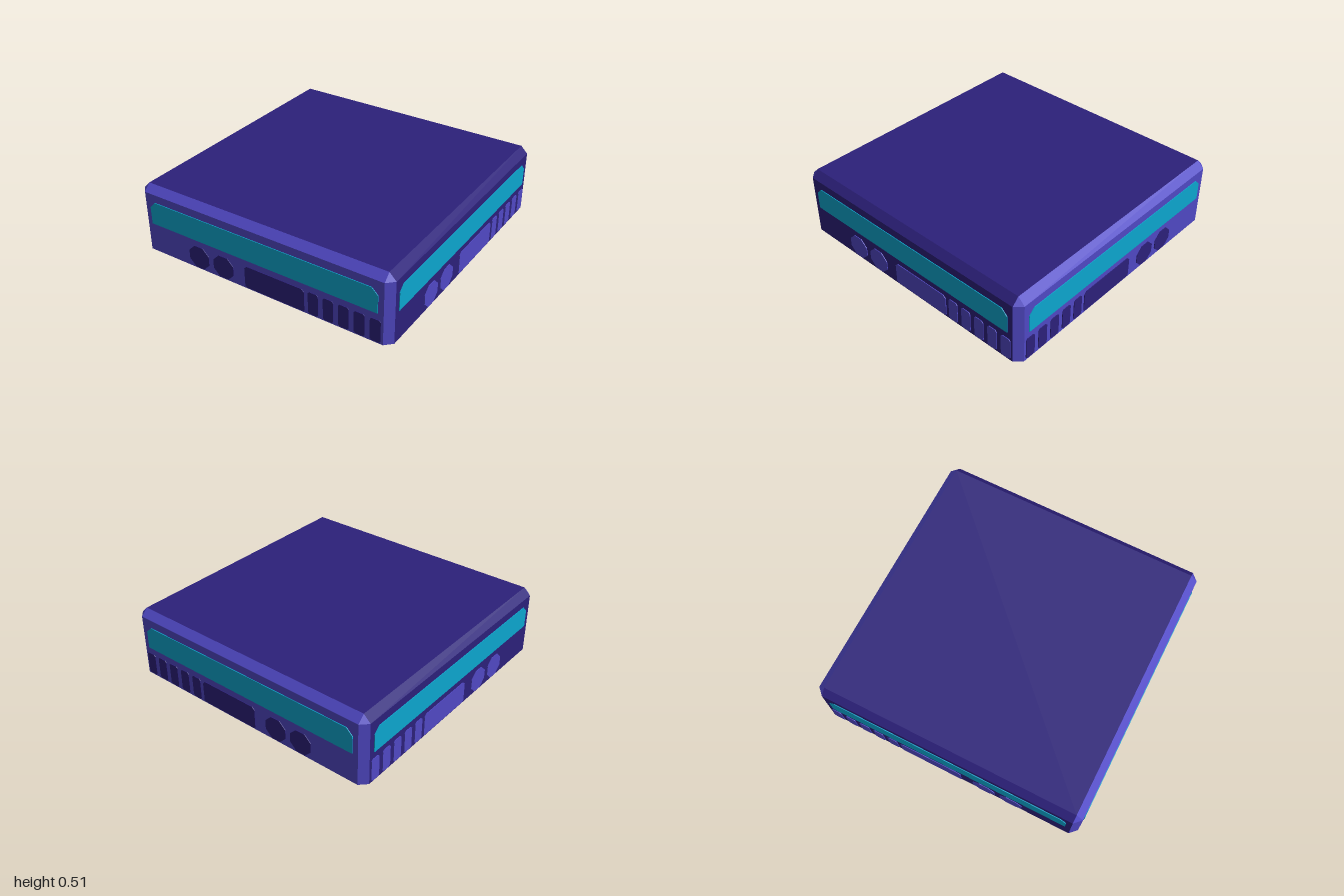
import * as THREE from 'three';

const W = 0.995, H = 0.945;      // half width, half width inside the bevel
const TOP = 0.51, EAVE = 0.46;   // roof height, height where the bevel starts
const PLATE = 0.005;             // thickness of the flush details

const paint = (name, color) => {
  const m = new THREE.MeshStandardMaterial({ color });
  m.name = name;
  return m;
};

// Flat convex polygon, corners counter-clockwise from outside
function facet(name, corners, material) {
  const pos = [];
  for (let i = 1; i < corners.length - 1; i++) pos.push(...corners[0], ...corners[i], ...corners[i + 1]);
  const g = new THREE.BufferGeometry();
  g.setAttribute('position', new THREE.Float32BufferAttribute(pos, 3));
  g.computeVertexNormals();
  const mesh = new THREE.Mesh(g, material);
  mesh.name = name;
  return mesh;
}

// Thin plate with cut corners: t at the top, b at the bottom
function plate(name, x0, x1, y0, y1, t, b, material) {
  const pts = [[x0 + b, y0], [x1 - b, y0], [x1, y0 + b], [x1, y1 - t],
    [x1 - t, y1], [x0 + t, y1], [x0, y1 - t]];
  if (b > 0) pts.push([x0, y0 + b]);
  else pts.splice(1, 1), pts.splice(0, 1, [x0, y0]);
  const shape = new THREE.Shape(pts.map(p => new THREE.Vector2(...p)));
  const mesh = new THREE.Mesh(new THREE.ExtrudeGeometry(shape, { depth: PLATE, bevelEnabled: false }), material);
  mesh.position.z = W;
  mesh.name = name;
  return mesh;
}

export function createModel() {
  const light = paint('light indigo', 0x5048c4);
  const dark = paint('dark indigo', 0x2c207a);
  const cyan = paint('cyan glass', 0x0ca6ce);
  const model = new THREE.Group();
  model.name = 'building';

  // Roof and underside
  model.add(facet('roof', [[-H, TOP, H], [H, TOP, H], [H, TOP, -H], [-H, TOP, -H]], dark));
  model.add(facet('underside', [[-H, 0, -W], [H, 0, -W], [W, 0, -H], [W, 0, H],
    [H, 0, W], [-H, 0, W], [-W, 0, H], [-W, 0, -H]], dark));

  ['front', 'right', 'back', 'left'].forEach((label, k) => {
    const side = new THREE.Group();
    side.name = label + 'Side';
    side.rotation.y = k * Math.PI / 2;
    const wall = k % 2 ? dark : light, trim = k % 2 ? light : dark;

    // Wall, roof bevel and corner post
    side.add(facet('wall', [[-H, 0, W], [H, 0, W], [H, EAVE, W], [-H, EAVE, W]], wall));
    side.add(facet('roofBevel', [[-H, EAVE, W], [H, EAVE, W], [H, TOP, H], [-H, TOP, H]], wall));
    side.add(facet('cornerPost', [[H, 0, W], [W, 0, H], [W, EAVE, H], [H, EAVE, W]], light));
    side.add(facet('cornerCap', [[H, EAVE, W], [W, EAVE, H], [H, TOP, H]], light));

    // Details, mirrored between opposite sides
    const m = k < 2 ? 1 : -1;
    const add = (name, c, w, y0, y1, t, b, mat) =>
      side.add(plate(name, m * c - w / 2, m * c + w / 2, y0, y1, t, b, mat));
    add('windowBand', 0, 1.81, 0.225, 0.4, 0.045, 0, cyan);
    for (const c of [-0.495, -0.285]) add('octagonPanel', c, 0.17, 0.01, 0.177, 0.05, 0.05, trim);
    add('widePanel', 0.133, 0.475, 0.01, 0.177, 0.02, 0.01, trim);
    for (let i = 0; i < 5; i++) add('slot', 0.437 + i * 0.1135, 0.077, 0.01, 0.177, 0.012, 0.012, trim);
    model.add(side);
  });
  return model;
}
